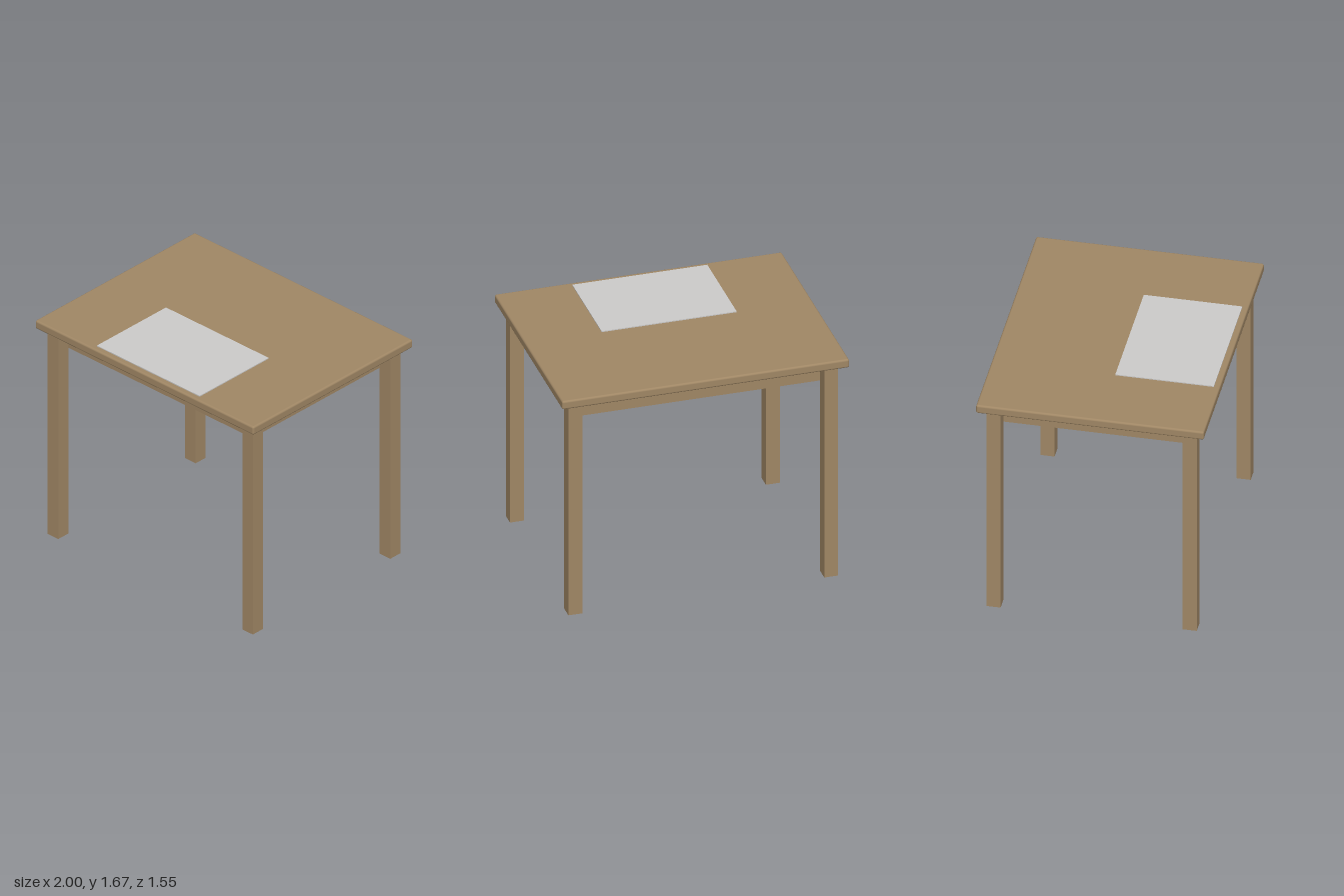
import * as THREE from 'three';
import { RoundedBoxGeometry } from 'three/addons/geometries/RoundedBoxGeometry.js';

export function createModel() {
  const wood = new THREE.MeshStandardMaterial({ color: 0xa08765 });
  wood.name = 'wood';
  const paper = new THREE.MeshStandardMaterial({ color: 0xcccbca });
  paper.name = 'paper';

  const table = new THREE.Group();
  table.name = 'table';

  const add = (name, geometry, material, x, y, z) => {
    const mesh = new THREE.Mesh(geometry, material);
    mesh.name = name;
    mesh.position.set(x, y, z);
    table.add(mesh);
  };

  // Top slab with softened edges
  add('tableTop', new RoundedBoxGeometry(2, 0.064, 1.55, 3, 0.014), wood, 0, 1.635, 0);

  // Solid apron block, set in to the inner corners of the legs
  add('apron', new THREE.BoxGeometry(1.686, 0.16, 1.238), wood, 0, 1.53, 0);

  // Four square legs
  const legHeight = 1.605;
  const legGeometry = new THREE.BoxGeometry(0.097, legHeight, 0.097);
  for (const [side, sx] of [['Left', 1], ['Right', -1]]) {
    for (const [end, sz] of [['front', 1], ['back', -1]]) {
      add(`${end}${side}Leg`, legGeometry, wood, sx * 0.891, legHeight / 2, sz * 0.667);
    }
  }

  // Thin sheet lying near the front edge
  add('sheet', new THREE.BoxGeometry(0.94, 0.008, 0.67), paper, 0, 1.67, 0.4);

  return table;
}
